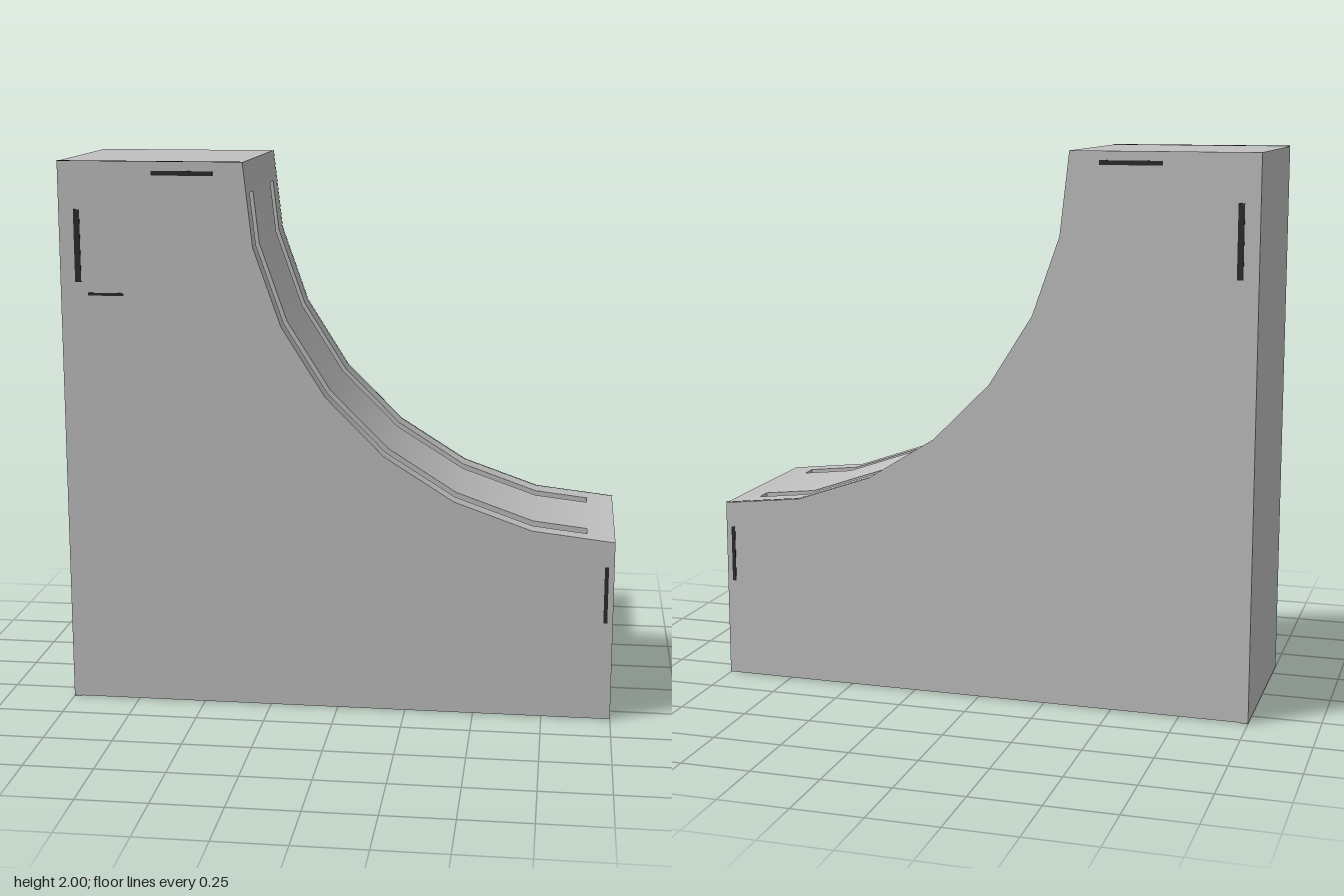
import * as THREE from 'three';

const W = 1 / 3, R = 4 / 3, CX = 1, CY = 2, SEG = 7, DEPTH = 0.045;
const GROOVES = [[-0.25, -0.182], [0.195, 0.263]];

// Point on the faceted quarter arc, u from 0 (top) to SEG (foot)
function arcPoint(u, depth = 0) {
  const corner = k => {
    const a = (k / SEG) * Math.PI / 2;
    return new THREE.Vector2(CX - R * Math.cos(a), CY - R * Math.sin(a));
  };
  const k = Math.min(Math.floor(u), SEG - 1);
  const p = corner(k).lerp(corner(k + 1), u - k);
  const out = new THREE.Vector2(p.x - CX, p.y - CY).normalize();
  return p.addScaledVector(out, depth);
}

// Geometry from quads of [x, y, z] corners; curved quads take normals from the arc centre
function quadGeometry(quads, curved) {
  const pos = [];
  for (const [a, b, c, d] of quads) pos.push(...a, ...b, ...c, ...a, ...c, ...d);
  const g = new THREE.BufferGeometry();
  g.setAttribute('position', new THREE.Float32BufferAttribute(pos, 3));
  g.computeVertexNormals();
  if (curved) {
    const n = g.attributes.normal, p = g.attributes.position;
    for (let i = 0; i < p.count; i++) {
      const v = new THREE.Vector2(CX - p.getX(i), CY - p.getY(i)).normalize();
      n.setXYZ(i, v.x, v.y, 0);
    }
  }
  return g;
}

// Quads sweeping a profile across z
function sweep(pts, z0, z1) {
  const quads = [];
  for (let i = 0; i + 1 < pts.length; i++) {
    const p = pts[i], q = pts[i + 1];
    quads.push([[p.x, p.y, z0], [p.x, p.y, z1], [q.x, q.y, z1], [q.x, q.y, z0]]);
  }
  return quads;
}

export function createModel() {
  const group = new THREE.Group();
  const body = new THREE.MeshStandardMaterial({ color: 0xc0c0c0 });
  body.name = 'light grey';
  const dark = new THREE.MeshStandardMaterial({ color: 0x2c2c2c });
  dark.name = 'dark grey';
  const add = (name, geometry, material = body) => {
    const m = new THREE.Mesh(geometry, material);
    m.name = name;
    group.add(m);
    return m;
  };

  // Parameters along the arc: groove ends lie at uA and uB
  const uA = 0.37, uB = 6.663;
  const inner = [uA, 1, 2, 3, 4, 5, 6, uB];
  const arc = [0, ...inner, SEG].map(u => arcPoint(u));
  const rim = inner.map(u => arcPoint(u));
  const floor = inner.map(u => arcPoint(u, DEPTH));

  // Flat outer faces: foot end, base, tall end, top
  const outline = [[1, 2 - R], [1, 0], [-1, 0], [-1, 2], [1 - R, 2]]
    .map(([x, y]) => new THREE.Vector2(x, y));
  add('outerFaces', quadGeometry(sweep(outline, -W, W)));

  // Two side cheeks
  const shape = new THREE.Shape([...outline.slice(1, 4), ...arc]);
  const front = new THREE.ShapeGeometry(shape).translate(0, 0, W);
  add('frontSide', front);
  const back = new THREE.ShapeGeometry(shape);
  back.setIndex(Array.from(back.index.array).reverse());
  back.translate(0, 0, -W);
  back.computeVertexNormals();
  add('backSide', back);

  // Curved ramp between and beside the grooves
  const ramp = [], flat = [];
  const edges = [-W, ...GROOVES.flat(), W];
  for (let i = 0; i < edges.length; i += 2) ramp.push(...sweep(arc, edges[i], edges[i + 1]));

  // Grooves: ramp ends, floor, end caps and walls
  for (const [z0, z1] of GROOVES) {
    ramp.push(...sweep(arc.slice(0, 2), z0, z1), ...sweep(floor, z0, z1), ...sweep(arc.slice(-2), z0, z1));
    flat.push(...sweep([rim[0], floor[0]], z0, z1), ...sweep([floor.at(-1), rim.at(-1)], z0, z1));
    for (let i = 0; i + 1 < rim.length; i++) {
      const wall = z => [rim[i], floor[i], floor[i + 1], rim[i + 1]].map(p => [p.x, p.y, z]);
      flat.push(wall(z0), wall(z1).reverse());
    }
  }
  add('ramp', quadGeometry(ramp, true));
  add('grooveWalls', quadGeometry(flat));

  // Thin dark marks on both sides: x, y, width, height
  const marks = [[-0.55, 1.96, 0.22, 0.016], [-0.935, 1.7, 0.022, 0.26], [0.973, 0.47, 0.014, 0.21]];
  const plate = (name, w, h, d, x, y, z) =>
    add(name, new THREE.BoxGeometry(w, h, d), dark).position.set(x, y, z);
  for (const s of [1, -1])
    for (const [x, y, w, h] of marks) plate('sideMark', w, h, 0.004, x, y, s * W);
  plate('sideMark', 0.13, 0.01, 0.004, -0.835, 1.527, W);

  // Thin dark edge strips
  plate('baseEdgeStrip', 0.03, 0.004, 2 * W, -0.985, 0, 0);
  plate('topEdgeStrip', 2 * W, 0.004, 0.008, -1 + W, 2, W - 0.004);
  add('rampEdgeStrip', quadGeometry(sweep(arc.map(p => p.clone().addScalar(0.002)), -W, -W + 0.008), true), dark);

  return group;
}
